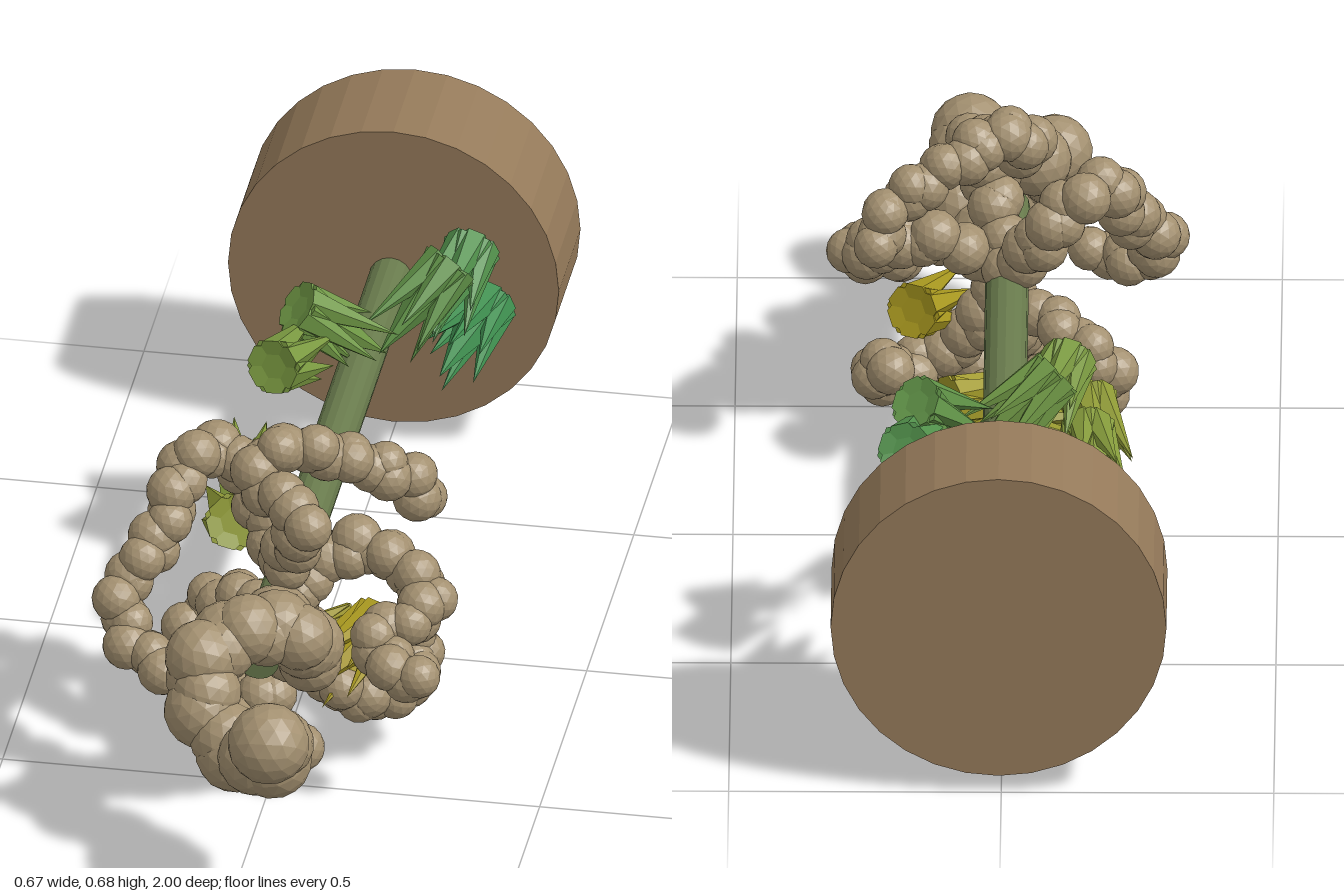
import * as THREE from 'three';

const AXIS_Y = 0.35;
const V = (p) => new THREE.Vector3(...p);
const mat = (color) => new THREE.MeshStandardMaterial({ color, flatShading: true });

// cylinder lying along z
function rod(name, r, z0, z1, sides, color, x = 0) {
  const g = new THREE.CylinderGeometry(r, r, z1 - z0, sides).rotateX(Math.PI / 2);
  const m = new THREE.Mesh(g, mat(color));
  m.name = name;
  m.position.set(x, AXIS_Y, (z0 + z1) / 2);
  return m;
}

// lumpy string of overlapping faceted beads, scattered around a smooth path
function beadChain(name, points, count, r0, r1, scatter, material) {
  const chain = new THREE.Group();
  chain.name = name;
  const curve = new THREE.CatmullRomCurve3(points.map(V));
  curve.getSpacedPoints(count - 1).forEach((p, i) => {
    const r = THREE.MathUtils.lerp(r0, r1, i / (count - 1)) * (1 + 0.06 * Math.sin(i * 2.3));
    const bead = new THREE.Mesh(new THREE.IcosahedronGeometry(r, 2), material);
    bead.name = 'bead';
    const a = i * 2.4;
    bead.position.copy(p).add(new THREE.Vector3(Math.cos(a), Math.sin(a), Math.sin(a * 1.7)).multiplyScalar(scatter));
    bead.rotation.set(i, i * 1.7, 0);
    chain.add(bead);
  });
  return chain;
}

// tuft of spikes fanning from a common six-sided cap, growing along dir
function leafTuft(center, dir, color) {
  const tuft = new THREE.Group();
  tuft.name = 'leafTuft';
  const material = mat(color);
  const spike = (r, len, x, z, splay, a) => {
    const g = new THREE.ConeGeometry(r, len, 6).translate(0, len / 2, 0);
    const m = new THREE.Mesh(g, material);
    m.name = 'leafSpike';
    m.position.set(x, -0.09, z);
    m.rotation.set(Math.sin(a) * splay, 0, -Math.cos(a) * splay);
    tuft.add(m);
  };
  spike(0.055, 0.21, 0, 0, 0, 0);
  for (let i = 0; i < 6; i++) {
    const a = (i / 6) * Math.PI * 2;
    spike(0.032, 0.15 + 0.02 * (i % 3), Math.cos(a) * 0.022, Math.sin(a) * 0.022, 0.22, a);
  }
  tuft.position.copy(V(center));
  tuft.quaternion.setFromUnitVectors(new THREE.Vector3(0, 1, 0), V(dir).normalize());
  return tuft;
}

export function createModel() {
  const model = new THREE.Group();
  model.name = 'pottedPlant';

  // pot and stem
  model.add(rod('pot', 0.308, -1, -0.77, 32, 0x957a5a, 0.005));
  model.add(rod('stem', 0.04, -0.78, 0.64, 16, 0x687a4c));

  // leaf tufts winding once round the stem, green to yellow: [center, direction]
  const leaves = [
    [[0.17, 0.33, -0.62], [-0.3, -0.25, 1]],
    [[0.16, 0.48, -0.54], [-0.2, -0.4, 0.9]],
    [[0.11, 0.49, -0.45], [-0.5, -0.6, 0.5]],
    [[-0.03, 0.47, -0.37], [0.6, -0.5, -0.3]],
    [[-0.09, 0.455, -0.28], [0.3, -0.25, -0.9]],
    [[-0.16, 0.27, -0.19], [-0.1, -0.1, -1]],
    [[-0.17, 0.24, -0.05], [-0.2, -0.4, -0.9]],
    [[-0.1, 0.15, 0.12], [-0.9, -0.2, 0]],
    [[0.03, 0.155, 0.25], [-0.8, -0.2, 0.5]],
    [[0.13, 0.26, 0.43], [-0.5, -0.3, 0.9]],
  ];
  const green = new THREE.Color(0x3f9050), olive = new THREE.Color(0x7f9a3e), yellow = new THREE.Color(0xa8981f);
  leaves.forEach(([c, d], i) => {
    const t = i / (leaves.length - 1);
    const color = t < 0.5 ? green.clone().lerp(olive, t * 2) : olive.clone().lerp(yellow, t * 2 - 1);
    model.add(leafTuft(c, d, color));
  });

  // flower: a leading coil of large beads and smaller coils branching off
  const petal = mat(0xa39070);
  model.add(beadChain('leadingCoil', [
    [0.0, 0.34, 0.46], [0.03, 0.34, 0.54], [0.08, 0.34, 0.59], [0.09, 0.39, 0.63], [0.04, 0.43, 0.66], [-0.03, 0.43, 0.69],
    [-0.08, 0.4, 0.74], [-0.075, 0.34, 0.78], [-0.03, 0.28, 0.81], [0.02, 0.27, 0.85],
    [0.07, 0.3, 0.89], [0.08, 0.35, 0.92],
  ], 26, 0.06, 0.072, 0.01, petal));

  const branches = {
    upperCoil: [30, [0.01, 0.39, 0.38], [0.02, 0.46, 0.43], [0.06, 0.56, 0.5], [0.03, 0.58, 0.46], [-0.04, 0.59, 0.41],
      [-0.02, 0.64, 0.38], [0.04, 0.635, 0.35], [0.1, 0.61, 0.32], [0.19, 0.56, 0.28], [0.23, 0.53, 0.25], [0.23, 0.48, 0.24]],
    rightCoil: [30, [-0.01, 0.38, 0.34], [-0.05, 0.45, 0.29], [-0.08, 0.51, 0.26], [-0.14, 0.57, 0.27], [-0.19, 0.56, 0.32],
      [-0.21, 0.49, 0.38], [-0.24, 0.43, 0.43], [-0.28, 0.38, 0.47], [-0.27, 0.33, 0.51], [-0.23, 0.29, 0.55], [-0.16, 0.29, 0.59]],
    leftCoil: [25, [0.02, 0.36, 0.4], [0.08, 0.41, 0.36], [0.15, 0.44, 0.35], [0.23, 0.41, 0.37], [0.28, 0.38, 0.41],
      [0.25, 0.35, 0.46], [0.19, 0.34, 0.48], [0.22, 0.31, 0.53], [0.28, 0.29, 0.57]],
    lowerCoil: [32, [0, 0.32, 0.4], [0, 0.22, 0.43], [-0.02, 0.13, 0.52], [0.04, 0.1, 0.52], [0.05, 0.07, 0.48],
      [0, 0.05, 0.46], [-0.04, 0.1, 0.42], [-0.11, 0.15, 0.38], [-0.17, 0.135, 0.33], [-0.19, 0.19, 0.28], [-0.15, 0.25, 0.27],
      [-0.06, 0.3, 0.33]],
    lowerLeftCoil: [21, [0.01, 0.32, 0.38], [0.06, 0.23, 0.39], [0.11, 0.18, 0.42], [0.16, 0.15, 0.4], [0.22, 0.15, 0.36],
      [0.24, 0.18, 0.31], [0.22, 0.22, 0.26]],
  };
  for (const [name, [count, ...pts]] of Object.entries(branches)) {
    model.add(beadChain(name, pts, count, 0.047, 0.043, 0.011, petal));
  }
  return model;
}
